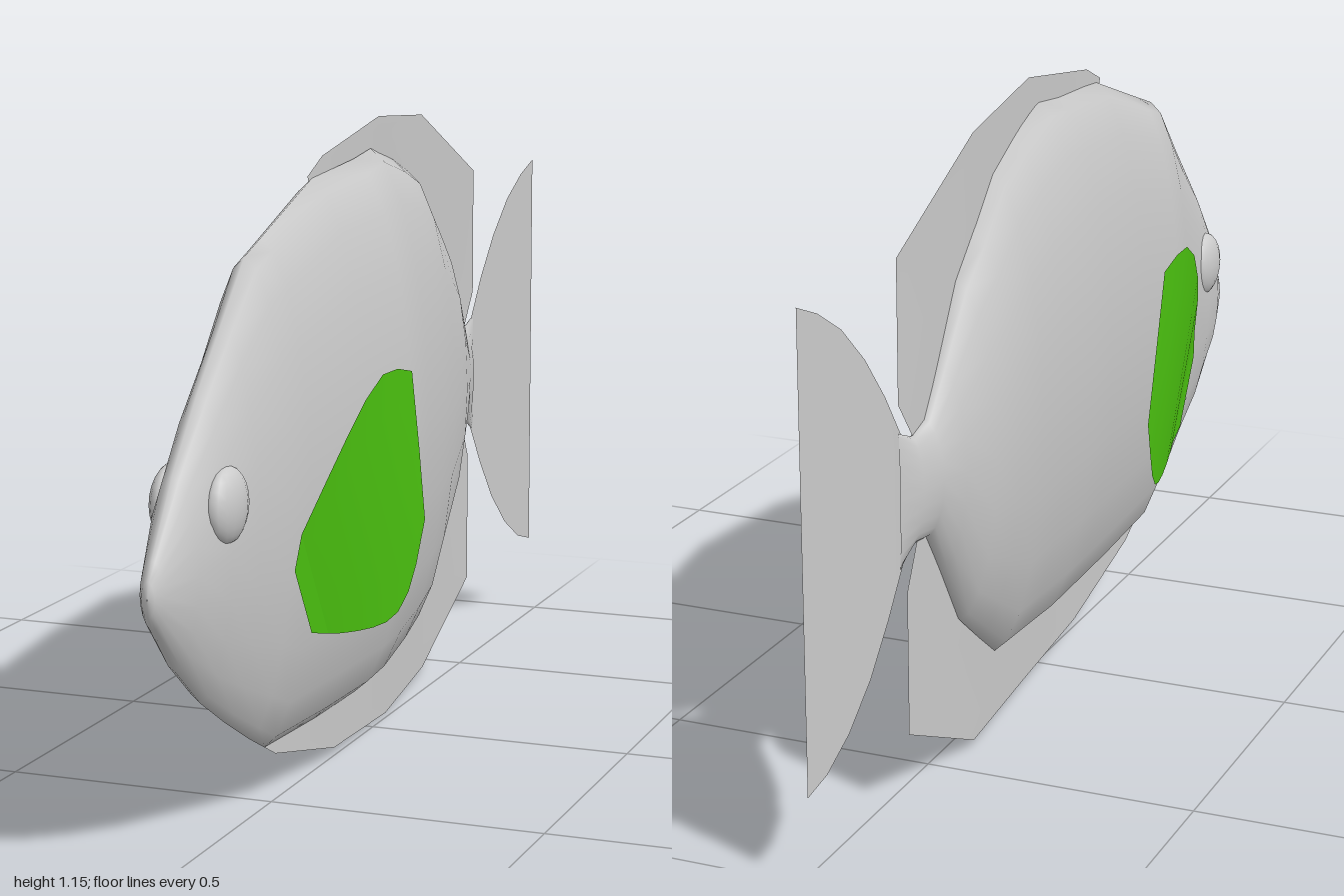
import * as THREE from 'three';

const GREY = 0xcccccc, GREEN = 0x4cc410;

// Linear lookup in [key, value] pairs with falling keys
function lookup(table, k) {
  for (let i = 1; i < table.length; i++) {
    const [k0, v0] = table[i - 1], [k1, v1] = table[i];
    if (k >= k1) return v0 + (v1 - v0) * Math.min(1, Math.max(0, (k0 - k) / (k0 - k1)));
  }
  return table[table.length - 1][1];
}

// Sideways bend of the swimming body, x along z
const BEND = [[1, 0], [0.1, 0], [-0.05, -0.007], [-0.2, -0.021], [-0.4, -0.045], [-0.6, -0.047], [-0.7, -0.045], [-1, -0.015]];
const spine = (z) => lookup(BEND, z);

function buildMesh(name, positions, index, color, side = THREE.FrontSide) {
  const geo = new THREE.BufferGeometry();
  geo.setAttribute('position', new THREE.Float32BufferAttribute(positions, 3));
  geo.setIndex(index);
  geo.computeVertexNormals();
  const mesh = new THREE.Mesh(geo, new THREE.MeshStandardMaterial({ color, side }));
  mesh.name = name;
  return mesh;
}

// Lens-shaped rings lofted from snout to tail root
function makeBody() {
  // z, top, bottom, half width
  const stations = [
    [1.0, 0.481, 0.479, 0.001], [0.997, 0.51, 0.45, 0.012], [0.98, 0.54, 0.425, 0.022],
    [0.9, 0.66, 0.34, 0.046], [0.8, 0.775, 0.26, 0.061], [0.7, 0.875, 0.2, 0.068],
    [0.6, 0.975, 0.145, 0.085], [0.53, 0.998, 0.11, 0.091], [0.3, 1.075, 0.1, 0.106],
    [0.1, 1.09, 0.097, 0.115], [0, 1.1, 0.1, 0.115], [-0.15, 1.065, 0.118, 0.107],
    [-0.27, 1.03, 0.135, 0.098], [-0.38, 0.955, 0.21, 0.088], [-0.46, 0.89, 0.27, 0.073],
    [-0.54, 0.77, 0.39, 0.052], [-0.6, 0.685, 0.475, 0.035], [-0.65, 0.67, 0.48, 0.022], [-0.7, 0.69, 0.45, 0.002],
  ];
  const n = 20, pos = [], idx = [];
  stations.forEach(([z, top, bottom, w], i) => {
    for (let j = 0; j < n; j++) {
      const a = (j / n) * Math.PI * 2, c = Math.cos(a);
      const x = Math.sign(c) * Math.pow(Math.abs(c), 1.2) * w;
      pos.push(spine(z) + x, (top + bottom) / 2 + Math.sin(a) * (top - bottom) / 2, z);
      if (i === 0) continue;
      const k = (j + 1) % n, p = (i - 1) * n, q = i * n;
      idx.push(p + j, q + j, p + k, p + k, q + j, q + k);
    }
  });
  return buildMesh('body', pos, idx, GREY);
}

// Thin sheet ruled between two [z, y] edges, pushed sideways by xAt(z, y)
function makeSheet(name, edgeA, edgeB, xAt, color = GREY, rows = 6) {
  const pos = [], idx = [], w = rows + 1;
  edgeA.forEach(([za, ya], i) => {
    const [zb, yb] = edgeB[i];
    for (let r = 0; r <= rows; r++) {
      const t = r / rows, z = za + (zb - za) * t, y = ya + (yb - ya) * t;
      pos.push(xAt(z, y), y, z);
      if (i === 0 || r === 0) continue;
      const p = (i - 1) * w + r, q = i * w + r;
      idx.push(p - 1, q - 1, p, p, q - 1, q);
    }
  });
  return buildMesh(name, pos, idx, color, THREE.DoubleSide);
}

// Paddle fin cupped outward, with a narrow folded root strip
function makePectoral(side) {
  const group = new THREE.Group();
  group.name = side > 0 ? 'leftPectoralFin' : 'rightPectoralFin';
  const xAt = (z, y) => {
    const d = (z - 0.54) * -0.858 + (y - 0.41) * 0.515; // distance from the root fold
    return side * (d < 0 ? 0.1 + 0.15 * d : 0.1 + 0.065 * (1 - (1 - d / 0.42) ** 2));
  };
  const upper = [[0.6, 0.51], [0.55, 0.59], [0.5, 0.655], [0.44, 0.715], [0.375, 0.75], [0.31, 0.75], [0.24, 0.735], [0.2, 0.59], [0.165, 0.455]];
  const lower = [[0.48, 0.31], [0.44, 0.302], [0.39, 0.295], [0.34, 0.29], [0.295, 0.29], [0.255, 0.3], [0.22, 0.33], [0.195, 0.375], [0.165, 0.45]];
  group.add(makeSheet('paddle', upper, lower, xAt, GREEN));
  group.add(makeSheet('root', [[0.6, 0.51], [0.48, 0.31]], [[0.615, 0.45], [0.54, 0.325]], xAt, GREEN, 1));
  return group;
}

export function createModel() {
  const fish = new THREE.Group();
  fish.name = 'fish';
  fish.add(makeBody());

  fish.add(makeSheet('dorsalFin',
    [[0.32, 1.08], [0.25, 1.11], [-0.05, 1.155], [-0.38, 1.13], [-0.7, 0.99], [-0.7, 0.74]],
    [[0.3, 1.04], [0.22, 1.04], [-0.05, 1.03], [-0.36, 0.92], [-0.55, 0.7], [-0.64, 0.66]], spine));
  fish.add(makeSheet('analFin',
    [[0.53, 0.11], [0.48, 0.085], [0.2, 0.018], [-0.1, 0.003], [-0.4, 0.015], [-0.675, 0.14], [-0.675, 0.4]],
    [[0.5, 0.15], [0.45, 0.15], [0.2, 0.15], [-0.1, 0.16], [-0.36, 0.26], [-0.56, 0.46], [-0.63, 0.49]], spine));
  fish.add(makeSheet('tailFin',
    [[-0.69, 0.685], [-0.74, 0.765], [-0.8, 0.845], [-0.87, 0.915], [-0.94, 0.96], [-1, 0.985]],
    [[-0.69, 0.455], [-0.74, 0.375], [-0.8, 0.29], [-0.87, 0.22], [-0.94, 0.175], [-1, 0.158]], spine));

  for (const side of [1, -1]) {
    fish.add(makePectoral(side));
    // Low eye bulge on the cheek
    const eye = new THREE.Mesh(new THREE.SphereGeometry(1, 16, 12), new THREE.MeshStandardMaterial({ color: GREY }));
    eye.name = side > 0 ? 'leftEye' : 'rightEye';
    eye.scale.set(0.03, 0.065, 0.065);
    eye.position.set(side * 0.048, 0.595, 0.795);
    fish.add(eye);
  }
  return fish;
}
